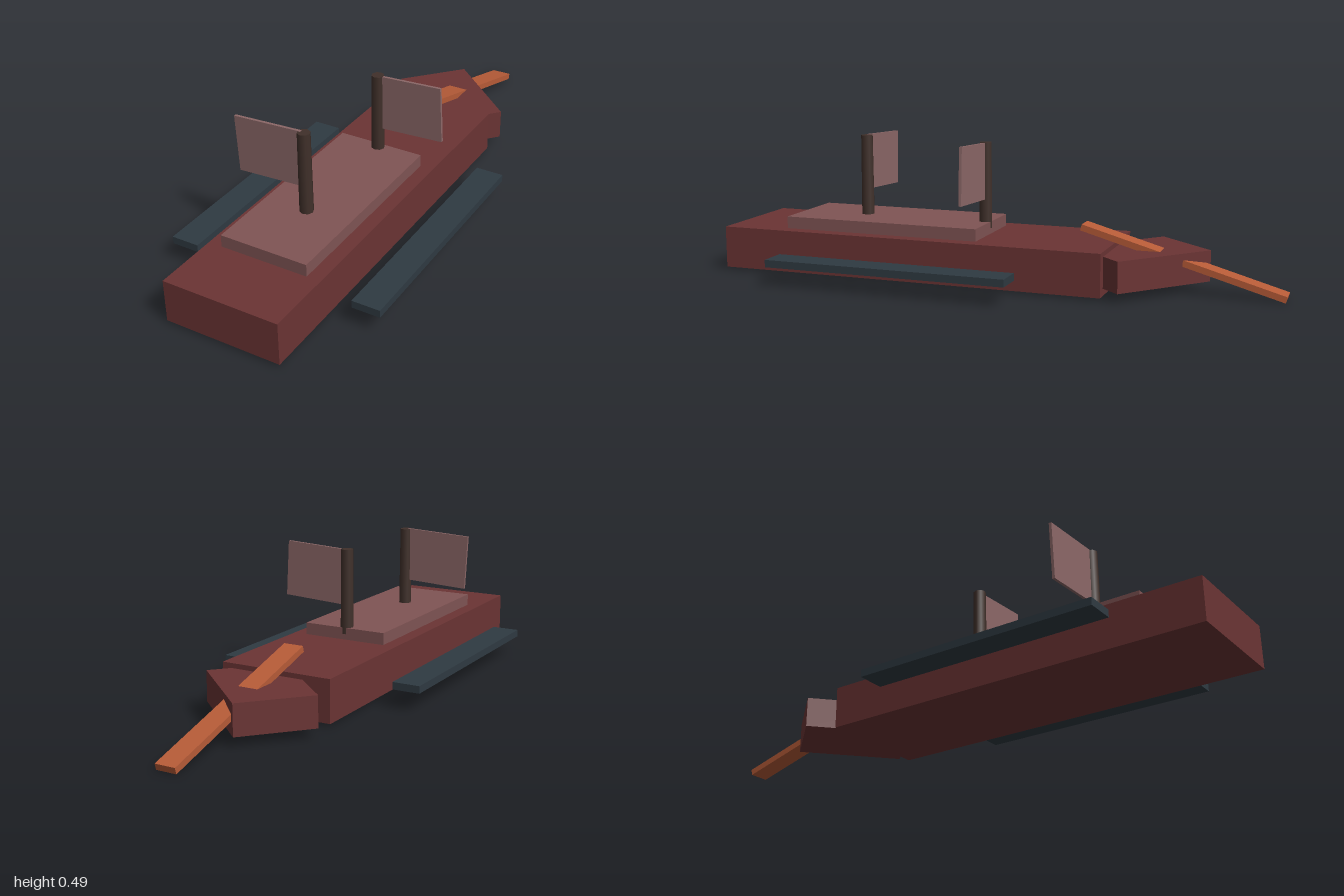
import * as THREE from 'three';

const mat = (color) => new THREE.MeshStandardMaterial({ color });

export function createModel() {
  const model = new THREE.Group();
  const hullMat = mat(0x6b3434), deckMat = mat(0x805454), floatMat = mat(0x2f3a42);
  const mastMat = mat(0x40302a), sailMat = mat(0x8c6868), oarMat = mat(0xb85c38);

  const add = (name, geometry, material, x, y, z) => {
    const mesh = new THREE.Mesh(geometry, material);
    mesh.name = name;
    mesh.position.set(x, y, z);
    model.add(mesh);
    return mesh;
  };
  const box = (name, w, h, d, material, x, y, z) =>
    add(name, new THREE.BoxGeometry(w, h, d), material, x, y, z);

  // Hull and raised deck
  box('hull', 0.414, 0.15, 1.415, hullMat, 0, 0.085, 0.2925);
  box('deck', 0.316, 0.044, 0.73, deckMat, 0, 0.181, 0.405);

  // Twisted stern block, partly buried in the hull
  box('sternBlock', 0.378, 0.108, 0.27, hullMat, -0.002, 0.089, -0.505).rotation.y = -0.735;

  // Outrigger floats on both sides
  for (const [name, side] of [['leftFloat', 1], ['rightFloat', -1]]) {
    box(name, 0.1, 0.026, 0.875, floatMat, side * 0.34, 0.08, 0.293);
  }

  // Masts, each with a slightly tilted sail on alternate sides
  for (const [name, z, top, sailX] of [['front', 0.522, 0.493, -0.131], ['rear', 0.061, 0.485, 0.12]]) {
    const height = top - 0.18;
    add(name + 'Mast', new THREE.CylinderGeometry(0.022, 0.024, height, 8), mastMat, 0, 0.18 + height / 2, z);
    box(name + 'Sail', 0.25, 0.2, 0.01, sailMat, sailX, 0.389, z).rotation.z = 0.05;
  }

  // Steering oar sloping down through the stern block
  box('steeringOar', 0.073, 0.022, 0.725, oarMat, -0.001, 0.111, -0.648).rotation.x = -0.276;

  return model;
}
